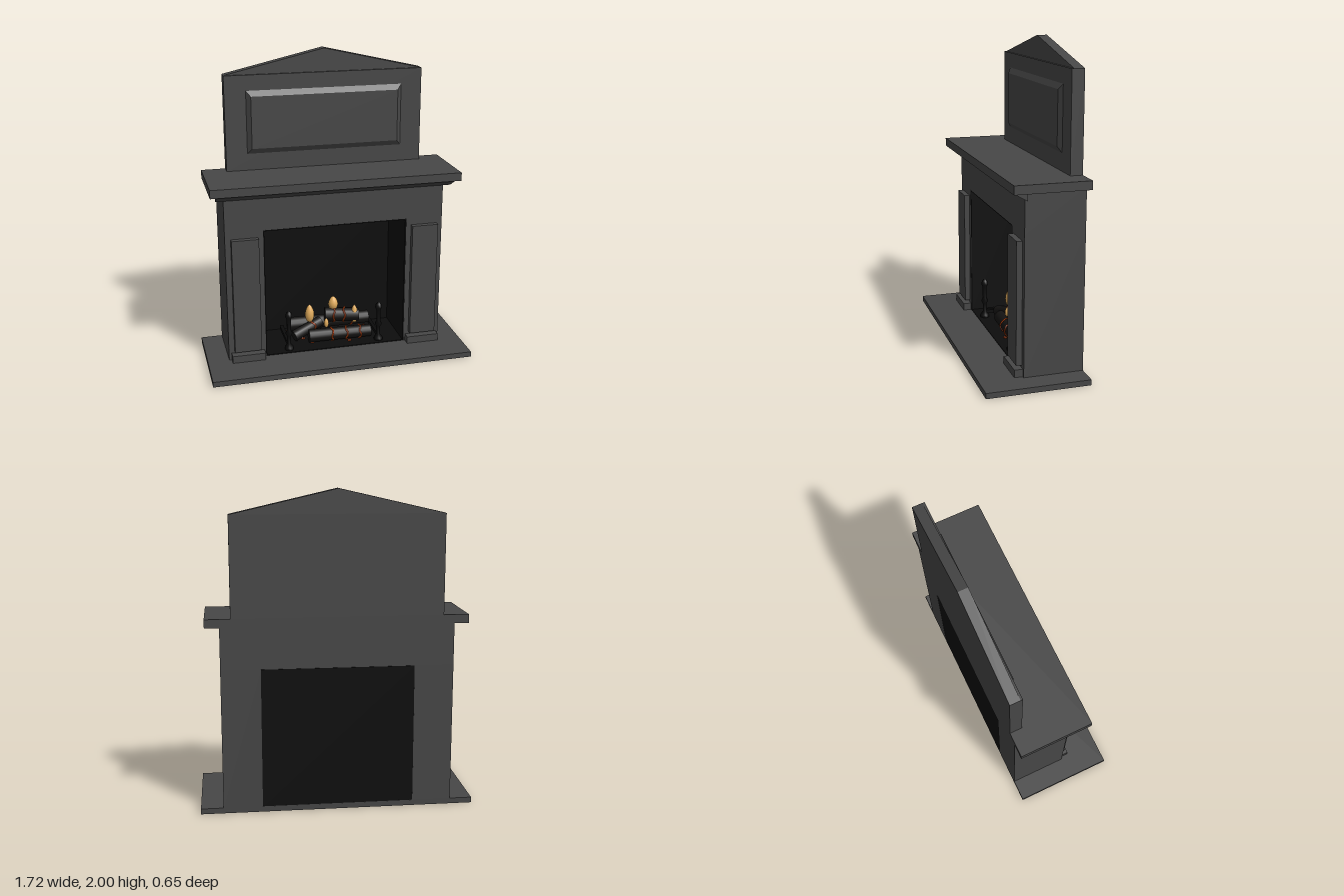
import * as THREE from 'three';

const mat = (name, color, side = THREE.FrontSide) => {
  const m = new THREE.MeshStandardMaterial({ color, side });
  m.name = name;
  return m;
};

export function createModel() {
  const stone = mat('charcoal stone', 0x474747);
  const soot = mat('soot black', 0x0d0d0d);
  const iron = mat('black iron', 0x0b0b0b);
  const bark = mat('charred bark', 0x151413);
  const flameMat = mat('flame yellow', 0xe2ac5c);
  const emberMat = mat('ember orange', 0xb8430f);

  const model = new THREE.Group();
  model.name = 'fireplace';
  const add = (name, geo, material, parent = model) => {
    const mesh = new THREE.Mesh(geo, material);
    mesh.name = name;
    parent.add(mesh);
    return mesh;
  };
  // Box given by its limits on each axis
  const box = (name, x0, x1, y0, y1, z0, z1, material = stone, parent = model) => {
    const geo = new THREE.BoxGeometry(x1 - x0, y1 - y0, z1 - z0);
    geo.translate((x0 + x1) / 2, (y0 + y1) / 2, (z0 + z1) / 2);
    return add(name, geo, material, parent);
  };
  const shapeOf = (pts) => new THREE.Shape(pts.map(([x, y]) => new THREE.Vector2(x, y)));
  const BACK = -0.325;

  // Hearth, lintel and mantel shelf
  box('hearth', -0.86, 0.86, 0, 0.035, BACK, 0.325);
  box('lintel', -0.72, 0.72, 0.915, 1.176, BACK, 0.052);
  box('mantelShelf', -0.81, 0.81, 1.176, 1.23, BACK, 0.145);

  // Sloping moulding under the shelf
  const wedge = new THREE.ExtrudeGeometry(
    shapeOf([[0.05, 1.125], [0.14, 1.177], [0.05, 1.177]]), { depth: 1.54, bevelEnabled: false });
  wedge.translate(0, 0, -0.77).rotateY(-Math.PI / 2);
  add('mantelMoulding', wedge, stone);

  // Pillars with raised panels and plinths
  for (const s of [1, -1]) {
    const pillar = new THREE.Group();
    pillar.name = s > 0 ? 'leftPillar' : 'rightPillar';
    model.add(pillar);
    const span = (a, b) => (s > 0 ? [a, b] : [-b, -a]);
    box('pillarShaft', ...span(0.475, 0.72), 0.035, 0.915, BACK, 0.052, stone, pillar);
    box('pillarPanel', ...span(0.508, 0.683), 0.1, 0.87, 0.05, 0.088, stone, pillar);
    box('pillarPlinth', ...span(0.485, 0.703), 0.035, 0.083, 0.05, 0.105, stone, pillar);
    box('fireboxSide', ...span(0.468, 0.476), 0.036, 0.914, -0.32, 0.05, soot, pillar);
  }

  // Firebox lining
  box('fireboxBack', -0.475, 0.475, 0.03, 0.914, -0.324, -0.314, soot);
  box('fireboxCeiling', -0.475, 0.475, 0.907, 0.914, -0.32, 0.05, soot);
  box('fireboxFloor', -0.475, 0.475, 0.034, 0.04, -0.32, 0.05, soot);

  // Overmantel with bevelled panel and pediment
  box('overmantel', -0.653, 0.653, 1.23, 1.85, BACK, -0.246);
  const raised = new THREE.BoxGeometry(1.03, 0.41, 0.022);
  const p = raised.attributes.position;
  for (let i = 0; i < p.count; i++) {
    if (p.getZ(i) > 0) p.setXY(i, p.getX(i) * 0.945, p.getY(i) * 0.83);
  }
  raised.computeVertexNormals();
  add('overmantelPanel', raised, stone).position.set(0, 1.545, -0.235);
  const gable = new THREE.ExtrudeGeometry(
    shapeOf([[-0.653, 1.85], [0.653, 1.85], [0, 2]]), { depth: 0.065, bevelEnabled: false });
  add('pediment', gable, stone).position.z = BACK;

  // Andirons
  for (const x of [-0.31, 0.31]) {
    const andiron = new THREE.Group();
    andiron.name = 'andiron';
    model.add(andiron);
    const post = new THREE.LatheGeometry(
      [[0, 0], [0.03, 0], [0.03, 0.02], [0.014, 0.04], [0.014, 0.1], [0.024, 0.12], [0.014, 0.14],
        [0.014, 0.22], [0.024, 0.24], [0.018, 0.265], [0, 0.28]]
        .map(([r, y]) => new THREE.Vector2(r, y)), 12);
    add('andironPost', post, iron, andiron).position.set(x, 0.038, 0);
    box('andironBar', x - 0.012, x + 0.012, 0.065, 0.09, -0.27, 0, iron, andiron);
  }

  // Logs with glowing cracks: start, end, radius, crack positions along the log
  const logs = [
    [[-0.28, 0.125, -0.2], [0.29, 0.125, -0.2], 0.048, [0.28, 0.78]],
    [[-0.16, 0.085, -0.07], [0.27, 0.085, -0.06], 0.045, [0.37, 0.6, 0.82]],
    [[-0.03, 0.195, -0.15], [0.2, 0.185, -0.12], 0.05, [0.26, 0.56]],
    [[-0.26, 0.09, -0.08], [-0.06, 0.15, -0.15], 0.038, [0.7]],
  ];
  const UP = new THREE.Vector3(0, 1, 0);
  logs.forEach(([a, b, r, cracks]) => {
    const start = new THREE.Vector3(...a);
    const dir = new THREE.Vector3(...b).sub(start);
    const len = dir.length();
    const log = new THREE.Group();
    log.name = 'log';
    log.position.copy(start);
    log.quaternion.setFromUnitVectors(UP, dir.normalize());
    model.add(log);
    const body = new THREE.CylinderGeometry(r * 0.92, r, len, 14);
    add('logBody', body.translate(0, len / 2, 0), bark, log);
    cracks.forEach((t) => {
      const pts = [];
      for (let i = 0; i <= 8; i++) {
        const ang = Math.PI * (-0.65 + 0.16 * i);
        pts.push(new THREE.Vector3(-Math.sin(ang) * r * 0.98,
          t * len + 0.006 * Math.sin(i * 1.9 + t * 9), Math.cos(ang) * r * 0.98));
      }
      add('logCrack', new THREE.TubeGeometry(new THREE.CatmullRomCurve3(pts), 24, 0.006, 5), emberMat, log);
    });
  });

  // Flames: x, base y, z, height, radius
  const profile = [[0, 0], [0.55, 0.06], [0.85, 0.2], [1, 0.42], [0.88, 0.64], [0.6, 0.82], [0.3, 0.94], [0, 1]];
  [[-0.14, 0.16, -0.13, 0.13, 0.032], [0.03, 0.225, -0.15, 0.1, 0.034],
    [0.17, 0.13, -0.11, 0.135, 0.026], [-0.035, 0.13, -0.08, 0.07, 0.017]]
    .forEach(([x, y, z, h, r]) => {
      const geo = new THREE.LatheGeometry(profile.map(([u, v]) => new THREE.Vector2(u * r, v * h)), 14);
      add('flame', geo, flameMat).position.set(x, y, z);
    });

  // Embers scattered on the floor
  for (let i = 0; i < 18; i++) {
    const x = (i % 2 ? 1 : -1) * (0.1 + 0.2 * ((i * 0.618) % 1));
    const z = -0.26 + 0.27 * ((i * 0.377) % 1);
    const ember = add('ember', new THREE.IcosahedronGeometry(0.009, 0), emberMat);
    ember.position.set(x, 0.046, z);
    ember.rotation.y = i;
  }
  return model;
}
